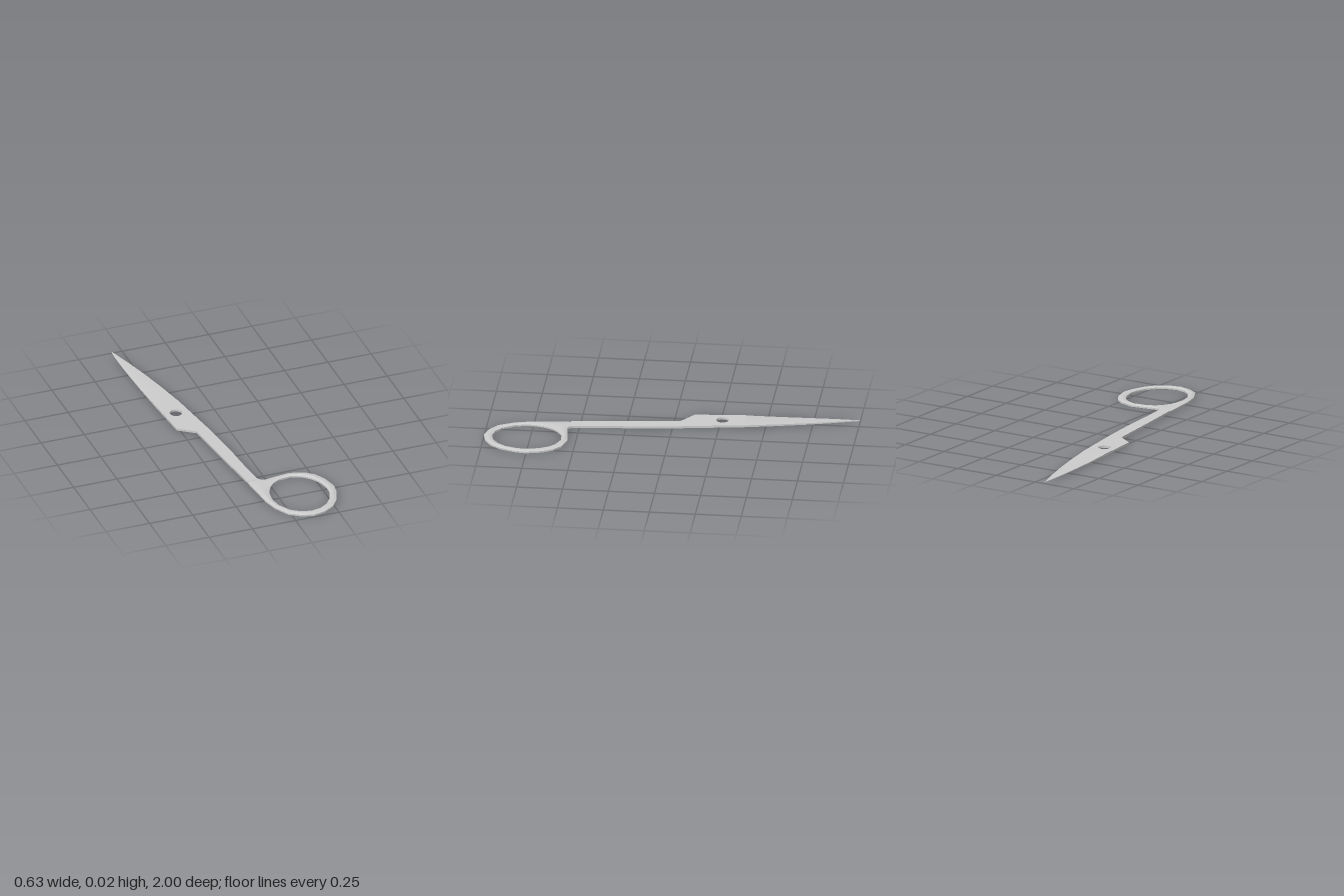
import * as THREE from 'three';
import { toCreasedNormals } from 'three/addons/utils/BufferGeometryUtils.js';

const material = new THREE.MeshStandardMaterial({ color: 0xcccccc });

function part(name, geometry) {
  const mesh = new THREE.Mesh(toCreasedNormals(geometry, 0.3), material);
  mesh.name = name;
  return mesh;
}

// Skins closed cross-sections (arrays of [x, y, z]); "closed" joins last to first.
function loft(sections, closed) {
  const n = sections[0].length, index = [];
  const spans = closed ? sections.length : sections.length - 1;
  for (let j = 0; j < spans; j++) {
    const j2 = (j + 1) % sections.length;
    for (let k = 0; k < n; k++) {
      const k2 = (k + 1) % n;
      const a = j * n + k, b = j * n + k2, c = j2 * n + k2, d = j2 * n + k;
      index.push(a, b, c, a, c, d);
    }
  }
  const g = new THREE.BufferGeometry();
  g.setAttribute('position', new THREE.Float32BufferAttribute(sections.flat(2), 3));
  g.setIndex(index);
  g.computeVertexNormals();
  return g;
}

// Tapering blade with a ground cutting edge on its right side
function blade() {
  const bottom = 0.006;
  // z, right edge x, left edge x, top y, width of the ground edge, outer edge y
  const stations = [
    [-0.38, -0.294, -0.160, 0.018, 0.001, 0.0175],
    [-0.40, -0.295, -0.164, 0.017, 0.003, 0.0165],
    [-0.56, -0.304, -0.196, 0.016, 0.021, 0.0125],
    [-0.72, -0.311, -0.233, 0.0145, 0.020, 0.011],
    [-0.86, -0.315, -0.270, 0.013, 0.013, 0.0105],
    [-0.95, -0.315, -0.297, 0.012, 0.007, 0.010],
    [-1.00, -0.312, -0.312, 0.011, 0, 0.011],
  ];
  return loft(stations.map(([z, l, r, top, w, edge]) => [
    [l, bottom, z], [l, edge, z], [l + w, top, z], [r, top, z], [r, bottom, z],
  ]), false);
}

// Flat pivot plate with its screw hole, running on into the shank
function shank() {
  const outline = [
    [-0.294, -0.38], [-0.272, -0.105], [-0.182, -0.04], [-0.145, 0.28], [-0.110, 0.55],
    [-0.045, 0.55], [-0.053, 0.515], [-0.065, 0.4], [-0.08, 0.2], [-0.11, -0.05],
    [-0.13, -0.18], [-0.16, -0.38],
  ];
  const shape = new THREE.Shape(outline.map(([x, z]) => new THREE.Vector2(x, -z)));
  shape.holes.push(new THREE.Path().absarc(-0.217, 0.262, 0.034, 0, Math.PI * 2, true));
  const g = new THREE.ExtrudeGeometry(shape, { depth: 0.012, bevelEnabled: false, curveSegments: 10 });
  return g.rotateX(-Math.PI / 2).translate(0, 0.006, 0);
}

// Bevelled finger ring, its outer outline widening into the shank
function fingerRing() {
  const outer = [
    [-0.05, 0.535], [-0.035, 0.555], [-0.01, 0.56], [0.055, 0.55], [0.135, 0.541],
    [0.215, 0.565], [0.262, 0.605], [0.295, 0.665], [0.315, 0.75], [0.307, 0.81],
    [0.278, 0.89], [0.235, 0.95], [0.177, 0.985], [0.108, 1.0], [0.04, 0.98],
    [-0.02, 0.94], [-0.066, 0.855], [-0.087, 0.775], [-0.095, 0.70], [-0.102, 0.64],
    [-0.108, 0.57], [-0.110, 0.535],
  ];
  const cx = 0.112, cz = 0.765, rx = 0.16, rz = 0.19;
  return loft(outer.map(([x, z]) => {
    const a = Math.atan2((z - cz) / rz, (x - cx) / rx);
    const ix = cx + rx * Math.cos(a), iz = cz + rz * Math.sin(a);
    const at = (t, y) => [x + (ix - x) * t, y, z + (iz - z) * t];
    return [
      at(0, 0.006), at(0, 0.015), at(0.4, 0.02), at(0.65, 0.02),
      at(1, 0.015), at(1, 0.006), at(0.65, 0), at(0.4, 0),
    ];
  }), true);
}

export function createModel() {
  const group = new THREE.Group();
  group.name = 'scissorHalf';
  group.add(part('blade', blade()), part('shank', shank()), part('fingerRing', fingerRing()));
  return group;
}
